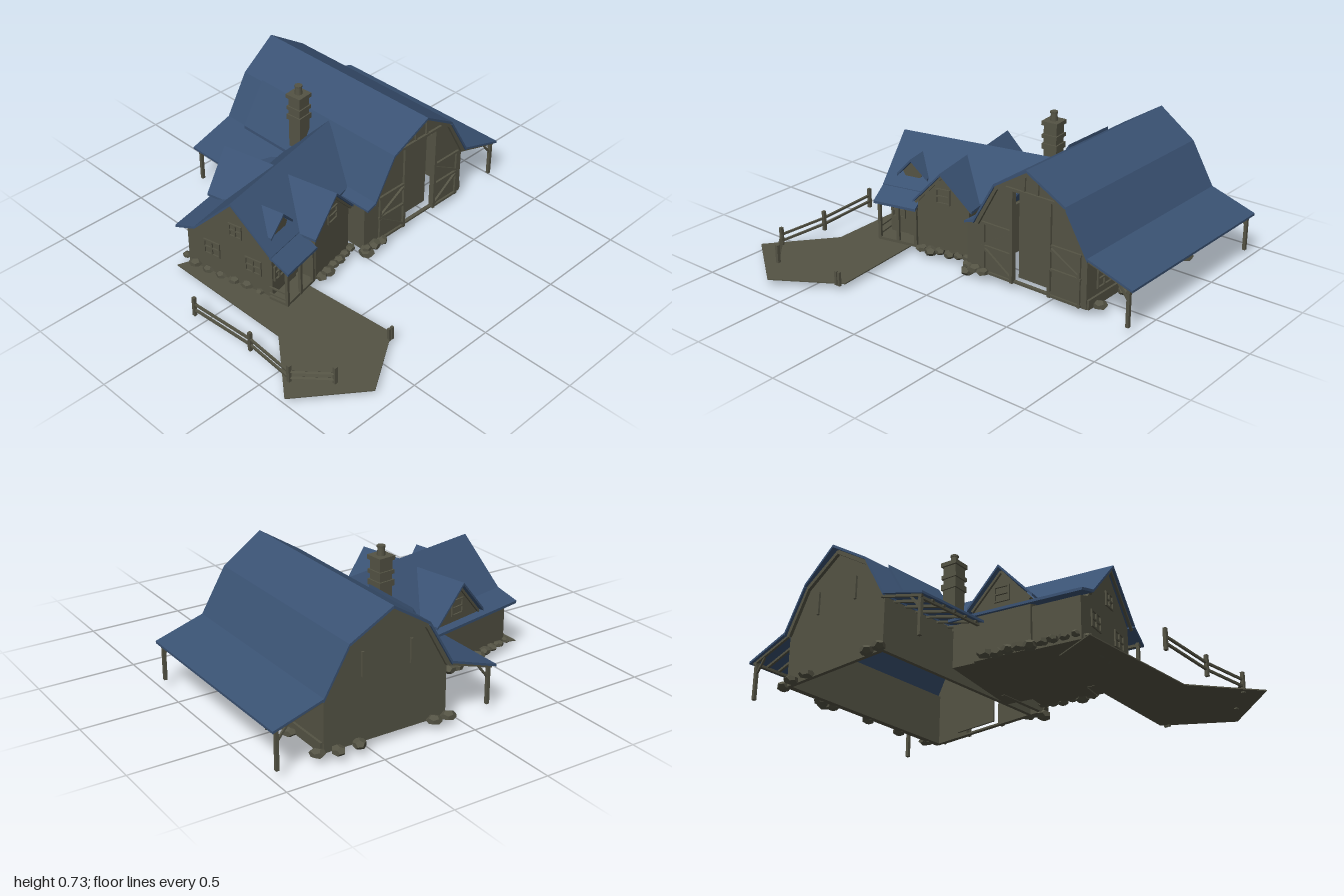
import * as THREE from 'three';

const wallGrey = new THREE.MeshStandardMaterial({ color: 0x545344, side: THREE.DoubleSide });
wallGrey.name = 'weathered grey';
const roofBlue = new THREE.MeshStandardMaterial({ color: 0x3a5273, side: THREE.DoubleSide });
roofBlue.name = 'slate blue';

const V = (p) => new THREE.Vector3(...p);

function add(parent, name, geo, mat = wallGrey, pos = [0, 0, 0]) {
  const m = new THREE.Mesh(geo, mat);
  m.name = name;
  m.position.set(...pos);
  parent.add(m);
  return m;
}
const box = (parent, name, size, pos, mat) => add(parent, name, new THREE.BoxGeometry(...size), mat, pos);

// Square timber between two points
function beam(parent, name, p, q, w = 0.012) {
  const d = V(q).sub(V(p));
  const m = add(parent, name, new THREE.BoxGeometry(w, d.length(), w));
  m.position.copy(V(p).add(V(q)).multiplyScalar(0.5));
  m.quaternion.setFromUnitVectors(new THREE.Vector3(0, 1, 0), d.normalize());
  return m;
}

// Four-cornered roof sheet with thickness t measured downward
function slab(parent, name, pts, t = 0.014, mat = roofBlue) {
  let c = pts.map(V);
  const n = c[1].clone().sub(c[0]).cross(c[2].clone().sub(c[0]));
  if (n.y < 0) c = c.reverse();
  const low = c.map((p) => p.clone().setY(p.y - t));
  const tri = [];
  const quad = (a, b, d, e) => tri.push(a, b, d, a, d, e);
  quad(...c);
  quad(low[3], low[2], low[1], low[0]);
  for (let i = 0; i < 4; i++) {
    const j = (i + 1) % 4;
    quad(c[j], c[i], low[i], low[j]);
  }
  const g = new THREE.BufferGeometry().setFromPoints(tri);
  g.computeVertexNormals();
  return add(parent, name, g, mat);
}

function extrude(pts, depth, hole) {
  const s = new THREE.Shape(pts.map((p) => new THREE.Vector2(...p)));
  if (hole) s.holes.push(new THREE.Path(hole.map((p) => new THREE.Vector2(...p))));
  return new THREE.ExtrudeGeometry(s, { depth, bevelEnabled: false });
}

// Framed window facing +z, mullions splitting it into panes
function windowFrame(parent, w, h, pos, turn = 0, panes = 2) {
  const g = new THREE.Group();
  g.name = 'window';
  for (let i = 0; i <= panes; i++) box(g, 'mullion', [0.008, h, 0.012], [-w / 2 + (w * i) / panes, 0, 0]);
  for (const y of [-h / 2, 0, h / 2]) box(g, 'windowBar', [w + 0.008, 0.008, 0.012], [0, y, 0]);
  g.position.set(...pos);
  g.rotation.y = turn;
  parent.add(g);
}

// Two roof sheets meeting at a ridge that runs along z
function gableRoof(parent, name, x, half, yRidge, yEave, z0, z1, prow = 0) {
  for (const s of [-1, 1]) {
    slab(parent, name, [[x, yRidge, z0], [x, yRidge, z1 + prow], [x + s * half, yEave, z1], [x + s * half, yEave, z0]]);
  }
}

function buildBarn() {
  const barn = new THREE.Group();
  barn.name = 'barn';
  const cx = 0.4;
  const profile = [[0.73, 0.04], [0.73, 0.305], [0.61, 0.525], [0.4, 0.655], [0.19, 0.525], [0.07, 0.305], [0.07, 0.04]];
  const doorway = [[0.29, 0.05], [0.29, 0.53], [0.51, 0.53], [0.51, 0.05]];
  add(barn, 'frontGable', extrude(profile, 0.02, doorway), wallGrey, [0, 0, 0.17]);
  add(barn, 'backGable', extrude(profile, 0.02), wallGrey, [0, 0, -0.865]);
  for (const x of [0.08, 0.72]) box(barn, 'sideWall', [0.02, 0.27, 1.05], [x, 0.175, -0.335]);
  box(barn, 'cornerWall', [0.07, 0.255, 0.02], [0.035, 0.165, 0.18]);
  box(barn, 'cornerSideWall', [0.02, 0.255, 0.3], [0.01, 0.165, 0.04]);
  box(barn, 'doorPanel', [0.25, 0.5, 0.01], [0.4, 0.29, 0.12]);

  // Gambrel roof with a slightly pointed ridge end, and lean-tos
  const zf = 0.215, zb = -0.895;
  for (const s of [-1, 1]) {
    const X = (d) => cx + s * d;
    slab(barn, 'upperRoof', [[cx, 0.68, 0.235], [cx, 0.68, -0.915], [X(0.215), 0.545, zb], [X(0.215), 0.545, zf]]);
    slab(barn, 'steepRoof', [[X(0.215), 0.545, zf], [X(0.215), 0.545, zb], [X(0.345), 0.322, zb], [X(0.345), 0.322, zf]], 0.02);
    for (const z of [0.195, -0.872]) {
      beam(barn, 'upperBargeboard', [cx, 0.655, z], [X(0.21), 0.522, z], 0.02);
      beam(barn, 'lowerBargeboard', [X(0.21), 0.522, z], [X(0.33), 0.305, z], 0.02);
    }
  }
  const leanTo = (x0, x1, z0, z1, y1) =>
    slab(barn, 'leanToRoof', [[x0, 0.322, z0], [x0, 0.322, z1], [x1, y1, z1], [x1, y1, z0]], 0.012);
  leanTo(0.745, 1, zb, zf, 0.24);
  leanTo(0.055, -0.2, zb, -0.3, 0.24);
  leanTo(0.055, 0, -0.3, zf, 0.303);
  for (let i = 0; i < 16; i++) {
    const z = -0.875 + i * 0.0715;
    beam(barn, 'rafter', [0.73, 0.305, z], [0.985, 0.227, z]);
    if (z < -0.35) beam(barn, 'rafter', [0.07, 0.305, z], [-0.185, 0.227, z]);
  }
  for (const [x, z] of [[0.97, 0.195], [0.97, -0.87], [-0.17, -0.87]]) {
    beam(barn, 'leanToPost', [x, 0.035, z], [x, 0.235, z], 0.017);
    beam(barn, 'postBrace', [x, 0.17, z], [x + (x > 0 ? -0.06 : 0.06), 0.245, z], 0.01);
  }
  beam(barn, 'eaveBeam', [0.97, 0.225, 0.2], [0.97, 0.225, -0.88], 0.014);
  beam(barn, 'eaveBeam', [-0.17, 0.225, -0.35], [-0.17, 0.225, -0.88], 0.014);

  // Raised sheet on the steep left slope
  slab(barn, 'roofPatch', [[0.18, 0.56, -0.75], [0.18, 0.56, -0.4], [0.04, 0.335, -0.4], [0.04, 0.335, -0.75]], 0.02);

  // Door frame, braced side leaves, loft hatch
  for (const s of [-1, 1]) {
    const X = (d) => cx + s * d;
    beam(barn, 'doorJamb', [X(0.115), 0.04, 0.195], [X(0.115), 0.54, 0.195], 0.016);
    beam(barn, 'leafEdge', [X(0.29), 0.04, 0.195], [X(0.29), 0.315, 0.195]);
    for (const y of [0.05, 0.19, 0.315]) beam(barn, 'leafRail', [X(0.115), y, 0.196], [X(0.3), y, 0.196]);
    beam(barn, 'leafBrace', [X(0.115), 0.3, 0.196], [X(0.29), 0.2, 0.196]);
    beam(barn, 'leafBrace', [X(0.115), 0.06, 0.196], [X(0.29), 0.18, 0.196]);
    beam(barn, 'hatchSide', [X(0.04), 0.55, 0.195], [X(0.04), 0.62, 0.195]);
    beam(barn, 'backBoard', [X(0.13), 0.36, -0.87], [X(0.13), 0.48, -0.87]);
  }
  beam(barn, 'doorHeader', [0.19, 0.54, 0.196], [0.61, 0.54, 0.196], 0.014);

  // Right wall openings and plinth
  windowFrame(barn, 0.21, 0.09, [0.734, 0.17, 0], Math.PI / 2, 4);
  windowFrame(barn, 0.19, 0.08, [0.734, 0.175, -0.325], Math.PI / 2, 4);
  box(barn, 'plinth', [0.02, 0.05, 1.04], [0.732, 0.065, -0.335]);
  return barn;
}

function buildHouse() {
  const house = new THREE.Group();
  house.name = 'house';
  house.rotation.y = 0.21;

  // Main body, profile runs back to front
  const body = extrude([[0.5, 0.04], [0.5, 0.26], [0.43, 0.285], [0.2, 0.515], [-0.01, 0.3], [-0.01, 0.04]].reverse(), 0.67);
  body.rotateY(Math.PI / 2);
  add(house, 'mainWalls', body, wallGrey, [-0.59, 0, 0]);
  const roofStrip = (name, uA, uB, a, b, uC = uB) =>
    slab(house, name, [[uA, a[0], a[1]], [uB, a[0], a[1]], [uC, b[0], b[1]], [uA, b[0], b[1]]]);
  roofStrip('frontRoof', -0.622, 0.225, [0.543, -0.2], [0.318, 0.03], 0.08);
  roofStrip('backRoof', -0.622, 0.225, [0.543, -0.2], [0.31, -0.43], 0.15);
  roofStrip('backEaveRoof', -0.622, 0.08, [0.31, -0.43], [0.27, -0.55]);
  roofStrip('porchRoof', -0.622, -0.375, [0.32, 0.02], [0.26, 0.128]);

  // Front and rear cross wings
  const wing = (u, half) => [[u - half, 0.04], [u + half, 0.04], [u + half, 0.305], [u, 0.47], [u - half, 0.305]];
  add(house, 'frontWing', extrude(wing(-0.218, 0.148), 0.31), wallGrey, [0, 0, -0.2]);
  gableRoof(house, 'frontWingRoof', -0.218, 0.17, 0.492, 0.312, -0.2, 0.128, 0.012);
  add(house, 'rearWing', extrude(wing(-0.192, 0.15), 0.31), wallGrey, [0, 0, -0.515]);
  gableRoof(house, 'rearWingRoof', -0.192, 0.173, 0.492, 0.305, -0.2, -0.545, -0.012);
  windowFrame(house, 0.075, 0.075, [-0.218, 0.355, 0.112], 0, 1);
  windowFrame(house, 0.075, 0.075, [-0.192, 0.355, -0.517], 0, 1);
  for (const s of [-1, 1]) {
    beam(house, 'wingBargeboard', [-0.218, 0.467, 0.118], [-0.218 + s * 0.155, 0.3, 0.118]);
    beam(house, 'wingBargeboard', [-0.192, 0.467, -0.525], [-0.192 + s * 0.155, 0.29, -0.525]);
  }

  // Dormer above the porch
  const d = -0.47;
  add(house, 'dormerWall', extrude([[d - 0.035, 0.355], [d + 0.035, 0.355], [d + 0.058, 0.39], [d, 0.455], [d - 0.058, 0.39]], 0.12), wallGrey, [0, 0, -0.14]);
  gableRoof(house, 'dormerRoof', d, 0.09, 0.472, 0.375, -0.14, -0.01, 0.012);

  // Porch
  for (const u of [-0.6, -0.49, -0.385]) beam(house, 'porchPost', [u, 0.04, 0.105], [u, 0.265, 0.105], 0.016);
  beam(house, 'porchBeam', [-0.61, 0.25, 0.105], [-0.375, 0.25, 0.105], 0.014);
  box(house, 'porchFloor', [0.23, 0.015, 0.11], [-0.49, 0.045, 0.055]);
  for (const y of [0.07, 0.11]) beam(house, 'porchRail', [-0.6, y, 0.0], [-0.6, y, 0.105], 0.008);
  box(house, 'frontDoor', [0.07, 0.17, 0.01], [-0.44, 0.135, 0.015]);
  windowFrame(house, 0.07, 0.08, [-0.54, 0.18, 0.014]);

  // Left end and rear openings
  windowFrame(house, 0.09, 0.08, [-0.592, 0.19, -0.1], Math.PI / 2);
  windowFrame(house, 0.09, 0.08, [-0.592, 0.19, -0.35], Math.PI / 2);
  windowFrame(house, 0.07, 0.07, [-0.592, 0.36, -0.2], Math.PI / 2);
  for (const s of [-1, 1]) {
    beam(house, 'endBargeboard', [-0.605, 0.518, -0.2], [-0.605, 0.295, -0.2 + s * 0.225]);
  }
  return house;
}

function buildChimney() {
  const chimney = new THREE.Group();
  chimney.name = 'chimney';
  chimney.position.set(0.098, 0, -0.38);
  chimney.rotation.y = 0.1;
  for (const [w, h, y] of [[0.075, 0.38, 0.48], [0.09, 0.02, 0.6], [0.094, 0.022, 0.67], [0.09, 0.03, 0.545]]) {
    box(chimney, 'chimneyCourse', [w, h, w], [0, y, 0]);
  }
  add(chimney, 'chimneyPot', new THREE.CylinderGeometry(0.016, 0.022, 0.05, 8), wallGrey, [0, 0.7, 0]);
  add(chimney, 'potRim', new THREE.CylinderGeometry(0.021, 0.021, 0.01, 8), wallGrey, [0, 0.725, 0]);
  return chimney;
}

function buildYard() {
  const yard = new THREE.Group();
  yard.name = 'yard';
  const outline = [[-0.745, 0.39], [-0.74, -0.35], [-1, -0.67], [-0.675, -0.92], [-0.345, -0.71], [-0.385, -0.2], [-0.5, 0.3]];
  const path = extrude(outline, 0.006);
  path.rotateX(-Math.PI / 2);
  add(yard, 'path', path, wallGrey, [0, 0.032, 0]);

  // Fence
  const posts = [[-0.915, -0.05], [-0.89, 0.32], [-0.91, 0.605], [-0.77, 0.76]];
  posts.forEach(([x, z], i) => {
    beam(yard, 'fencePost', [x, 0.025, z], [x, 0.135, z], 0.017);
    if (!i) return;
    const [px, pz] = posts[i - 1];
    for (const y of [0.06, 0.095]) beam(yard, 'fenceRail', [px, y, pz], [x, y, z], 0.011);
  });
  for (const x of [-0.385, -0.365]) beam(yard, 'gatePost', [x, 0.025, 0.73], [x, 0.1, 0.73], 0.014);

  // Foundation stones: rows between two points
  let seed = 7;
  const rnd = () => (seed = (seed * 16807) % 2147483647) / 2147483647;
  const stone = (x, z, r, y = 0.05) => {
    const m = add(yard, 'stone', new THREE.DodecahedronGeometry(1), wallGrey, [x, y, z]);
    m.scale.set(r, r * 0.6, r * 0.85);
    m.rotation.y = rnd() * 6;
  };
  const row = (x0, z0, x1, z1, n) => {
    for (let i = 0; i < n; i++) {
      const t = (i + 0.5) / n;
      stone(x0 + (x1 - x0) * t, z0 + (z1 - z0) * t, 0.026 + rnd() * 0.018, 0.045 + rnd() * 0.015);
    }
  };
  row(-0.7, -0.39, -0.2, -0.51, 9);
  row(-0.69, -0.36, -0.58, 0.1, 6);
  row(-0.33, 0.2, -0.02, 0.13, 6);
  row(-0.02, 0.2, 0.14, 0.21, 3);
  for (const x of [0.07, 0.15, 0.56, 0.67]) stone(x, -0.89, 0.04);
  for (const z of [0.12, -0.08, -0.3, -0.54, -0.62, -0.86]) stone(0.76, z, 0.04);
  stone(0.8, -0.55, 0.055, 0.07);
  stone(0.01, 0.2, 0.045, 0.027);
  return yard;
}

export function createModel() {
  const model = new THREE.Group();
  model.name = 'farmstead';
  model.add(buildBarn(), buildHouse(), buildChimney(), buildYard());
  return model;
}
